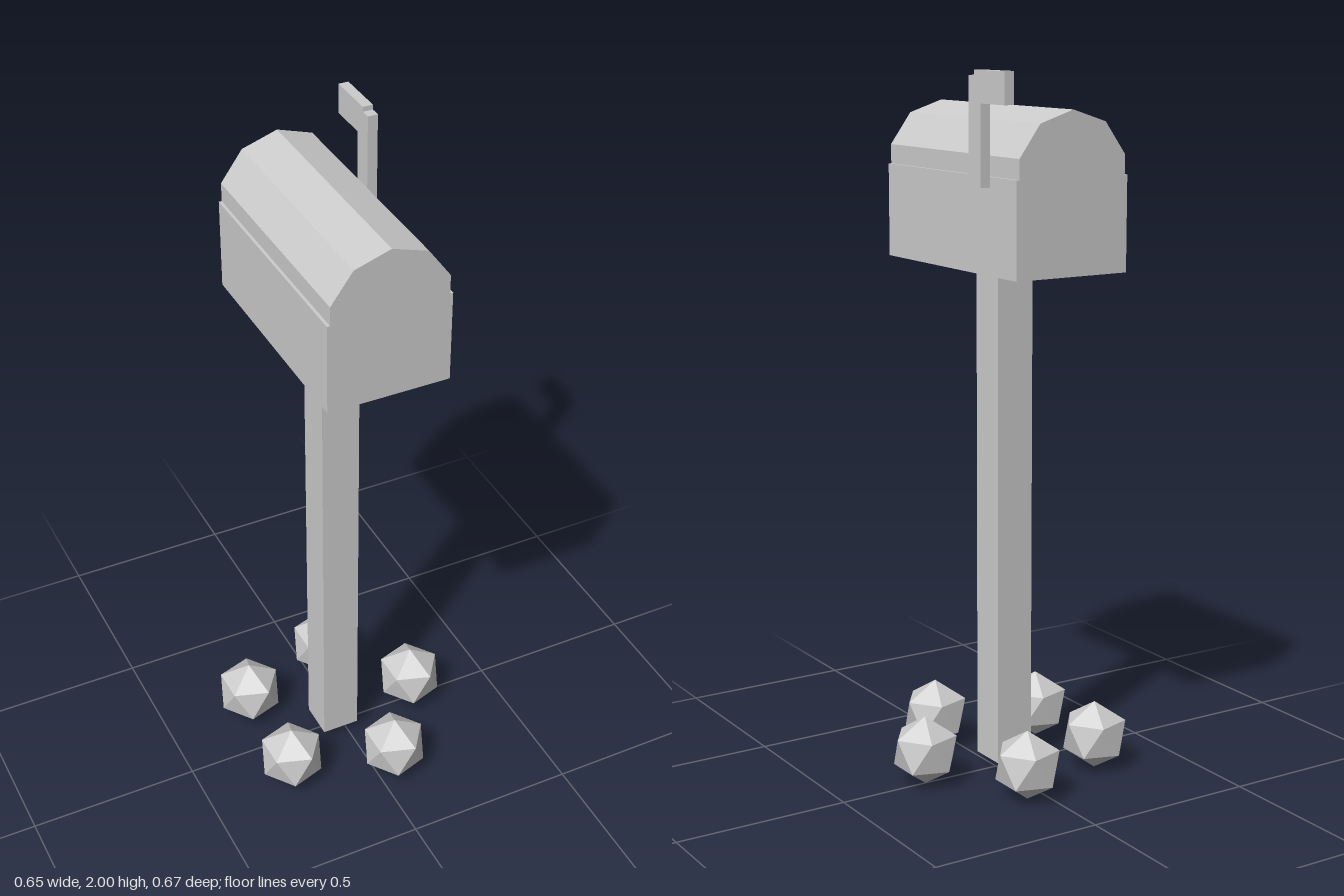
import * as THREE from 'three';

const CENTER_X = -0.026; // axis of post, box and stone ring

export function createModel() {
  const group = new THREE.Group();
  const grey = new THREE.MeshStandardMaterial({ color: 0xcccccc });
  grey.name = 'light grey';

  const add = (name, geometry, x, y, z) => {
    const mesh = new THREE.Mesh(geometry, grey);
    mesh.name = name;
    mesh.position.set(x, y, z);
    group.add(mesh);
    return mesh;
  };
  const extrude = (points, depth) => new THREE.ExtrudeGeometry(
    new THREE.Shape(points.map(([x, y]) => new THREE.Vector2(x, y))),
    { depth, bevelEnabled: false });

  // Square post
  add('post', new THREE.BoxGeometry(0.112, 1.433, 0.112), CENTER_X - 0.002, 0.7495, 0);

  // Mailbox: straight sides, a small ledge, then half a decagon as the roof
  const half = 0.174, ledgeY = 1.726, roofRadius = 0.174;
  const roof = [18, 54, 90, 126, 162].map((deg) => {
    const a = THREE.MathUtils.degToRad(deg);
    return [roofRadius * Math.cos(a), ledgeY + roofRadius * Math.sin(a)];
  });
  const roofSide = roof[0][0];
  add('mailbox', extrude([
    [-half, 1.466], [half, 1.466], [half, ledgeY], [roofSide, ledgeY],
    ...roof, [-roofSide, ledgeY], [-half, ledgeY],
  ], 0.664), CENTER_X, 0, -0.332);

  // Signal flag on the left side: upright stick with a plate reaching backwards
  const flag = extrude([
    [0.146, 1.698], [0.204, 1.698], [0.204, 1.915], [0.319, 1.915],
    [0.319, 2], [0.175, 2], [0.175, 1.986], [0.146, 1.986],
  ], 0.029);
  flag.rotateY(Math.PI / 2);
  add('flag', flag, 0.148, 0, 0);

  // Ring of five faceted stones, each standing on a vertex
  const stone = new THREE.IcosahedronGeometry(0.1, 0);
  stone.rotateZ(-Math.atan(2 / (1 + Math.sqrt(5))));
  for (let i = 0; i < 5; i++) {
    const a = (i / 5) * Math.PI * 2;
    add('stone' + (i + 1), stone, CENTER_X + 0.263 * Math.cos(a), 0.1, 0.263 * Math.sin(a));
  }
  return group;
}
